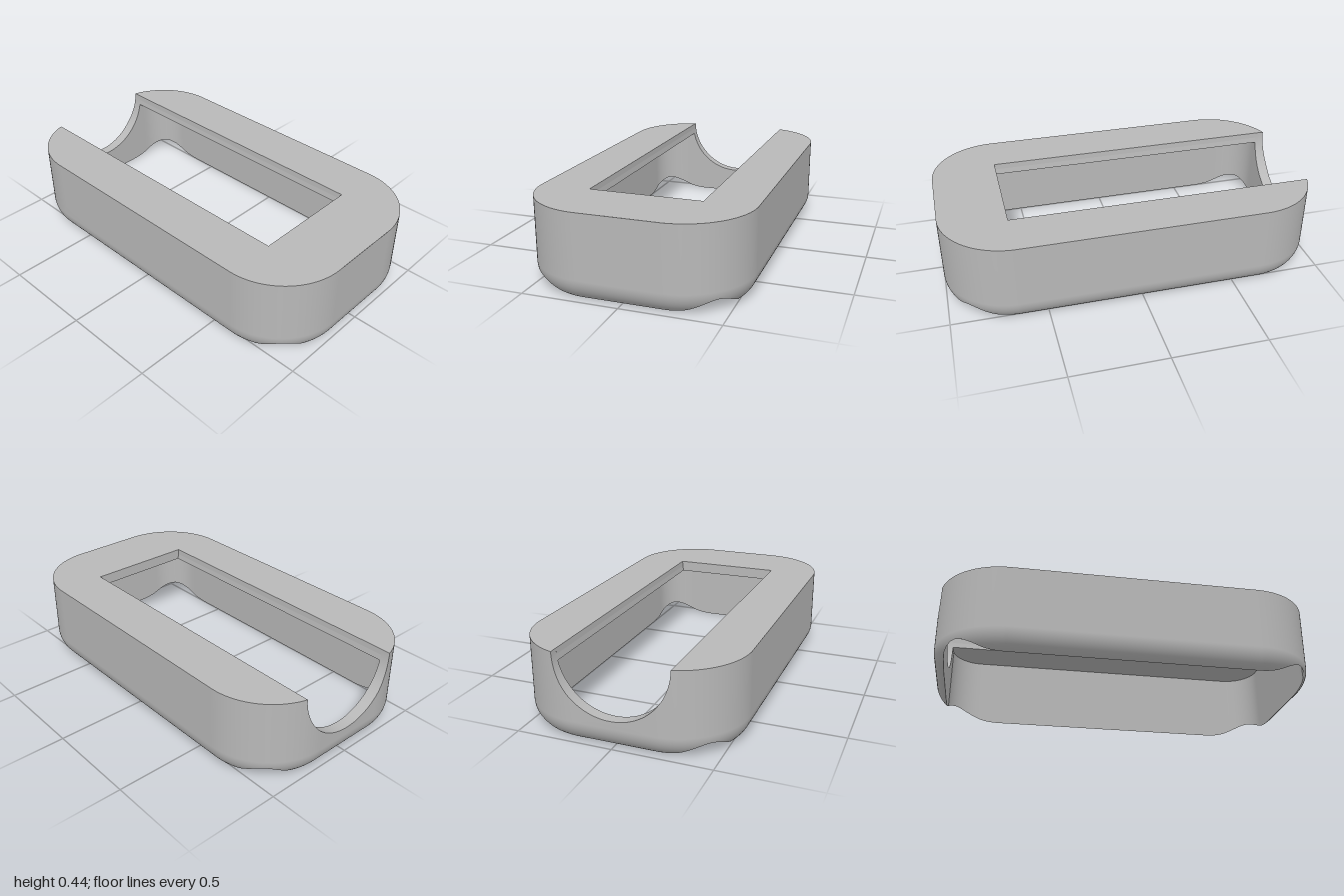
import * as THREE from 'three';

const H = 0.44, PLATE = 0.38;             // top of the body, underside of the top plate
const CX = 0.64, CZ = 0.2, RO = 0.36;     // outer corner centres and radius
const IX = 0.94, IZ = 0.5, RI = 0.17;     // cavity half sizes and corner radius
const RF = 0.125, YF = 0.107;             // bottom rounding: radius and centre height
const RU = 0.295, SLOT_END = 0.65;        // round channel radius and its closed end

// height of the round channel at a given z
const channelY = z => H - Math.sqrt(Math.max(0, RU * RU - z * z));

// surface through rows of points [x, y, z]
function grid(rows, closed, flat) {
  const n = rows[0].length, index = [];
  for (let r = 0; r < rows.length - 1; r++) {
    for (let i = 0; i < (closed ? n : n - 1); i++) {
      const j = (i + 1) % n, a = r * n, b = a + n;
      index.push(a + i, a + j, b + i, a + j, b + j, b + i);
    }
  }
  let geo = new THREE.BufferGeometry();
  geo.setAttribute('position', new THREE.Float32BufferAttribute(rows.flat(2), 3));
  geo.setIndex(index);
  if (flat) geo = geo.toNonIndexed();
  geo.computeVertexNormals();
  return geo;
}

// distance from an outer point, straight inward, to the cavity wall
function wallThickness(p) {
  const outside = d => {
    const u = Math.abs(p.x - p.nx * d) - IX + RI, v = Math.abs(p.z - p.nz * d) - IZ + RI;
    return Math.min(Math.max(u, v), 0) + Math.hypot(Math.max(u, 0), Math.max(v, 0)) > RI;
  };
  let lo = 0, hi = 0.1;
  for (let k = 0; k < 30; k++) {
    const m = (lo + hi) / 2;
    if (outside(m)) lo = m; else hi = m;
  }
  return hi;
}

// outer outline, with extra points where the channel opens through the left end
function outline() {
  const pts = [], N = 28, phi = Math.asin((RU - CZ) / RO);
  const arc = (sx, sz, a0, a1, from, to) => {
    for (let i = from; i <= to; i++) {
      const a = a0 + (a1 - a0) * i / N, nx = Math.cos(a), nz = Math.sin(a);
      pts.push({ x: sx * CX + RO * nx, z: sz * CZ + RO * nz, nx, nz, open: false });
    }
  };
  arc(1, 1, 0, Math.PI / 2, 0, N);
  arc(-1, 1, Math.PI / 2, Math.PI - phi, 0, N - 1);
  for (let i = 0; i <= 64; i++) {
    const z = RU * Math.cos(Math.PI * i / 64);
    const nz = Math.sign(z) * Math.max(0, Math.abs(z) - CZ) / RO, nx = -Math.sqrt(1 - nz * nz);
    pts.push({ x: -CX + RO * nx, z, nx, nz, open: true });
  }
  arc(-1, -1, Math.PI + phi, Math.PI * 1.5, 1, N);
  arc(1, -1, Math.PI * 1.5, Math.PI * 2, 0, N);
  for (const p of pts) {
    p.d = wallThickness(p);
    p.qx = p.x - p.nx * p.d;
    p.qz = p.z - p.nz * p.d;
    p.b = Math.acos(1 - p.d / RF);
  }
  return pts;
}

export function createModel() {
  const group = new THREE.Group();
  const grey = new THREE.MeshStandardMaterial({ color: 0xb8b8b8 });
  grey.name = 'grey';
  const add = (name, geo) => {
    const mesh = new THREE.Mesh(geo, grey);
    mesh.name = name;
    group.add(mesh);
  };
  const pts = outline();

  // outer wall and its rounded bottom edge, which ends where it meets the cavity
  const outer = [pts.map(p => [p.x, p.open ? channelY(p.z) : H, p.z])];
  const STEPS = 12;
  for (let k = 0; k <= STEPS; k++) {
    outer.push(pts.map(p => {
      const b = p.b * k / STEPS, o = RF * (1 - Math.cos(b));
      return [p.x - p.nx * o, YF - RF * Math.sin(b), p.z - p.nz * o];
    }));
  }
  add('outerWall', grid(outer, true));

  // cavity wall
  const bottom = outer[outer.length - 1];
  const top = pts.map(p => p.open
    ? [-IX, Math.min(PLATE, channelY(p.z)), p.z] : [p.qx, PLATE, p.qz]);
  add('innerWall', grid([bottom, top], true));

  // round lip through the left end wall
  const open = pts.filter(p => p.open);
  add('channelLip', grid([
    open.map(p => [-IX, channelY(p.z), p.z]),
    open.map(p => [p.x, channelY(p.z), p.z]),
  ], false));

  // sides and end of the slot in the top plate
  const slotRow = y => {
    const z = Math.sqrt(RU * RU - (H - y) ** 2);
    return [[-IX, y, z], [SLOT_END, y, z], [SLOT_END, y, -z], [-IX, y, -z]];
  };
  add('slotEdges', grid([H, 0.41, PLATE].map(slotRow), false, true));

  // top plate: upper face, then lower face inside the cavity
  const first = pts.findIndex(p => p.open), last = first + open.length - 1;
  const upper = [
    ...pts.slice(0, first + 1).map(p => [p.x, p.z]),
    [SLOT_END, RU], [SLOT_END, -RU],
    ...pts.slice(last, -1).map(p => [p.x, p.z]),
  ];
  const lower = [
    ...pts.slice(0, first).map(p => [p.qx, p.qz]),
    ...slotRow(PLATE).map(([x, , z]) => [x, z]),
    ...pts.slice(last + 1, -1).map(p => [p.qx, p.qz]),
  ];
  const face = (outlinePts, sign) => new THREE.ShapeGeometry(
    new THREE.Shape(outlinePts.map(([x, z]) => new THREE.Vector2(x, sign * z))));
  add('topFace', face(upper, -1).rotateX(-Math.PI / 2).translate(0, H, 0));
  add('topPlateUnderside', face(lower, 1).rotateX(Math.PI / 2).translate(0, PLATE, 0));

  return group;
}
